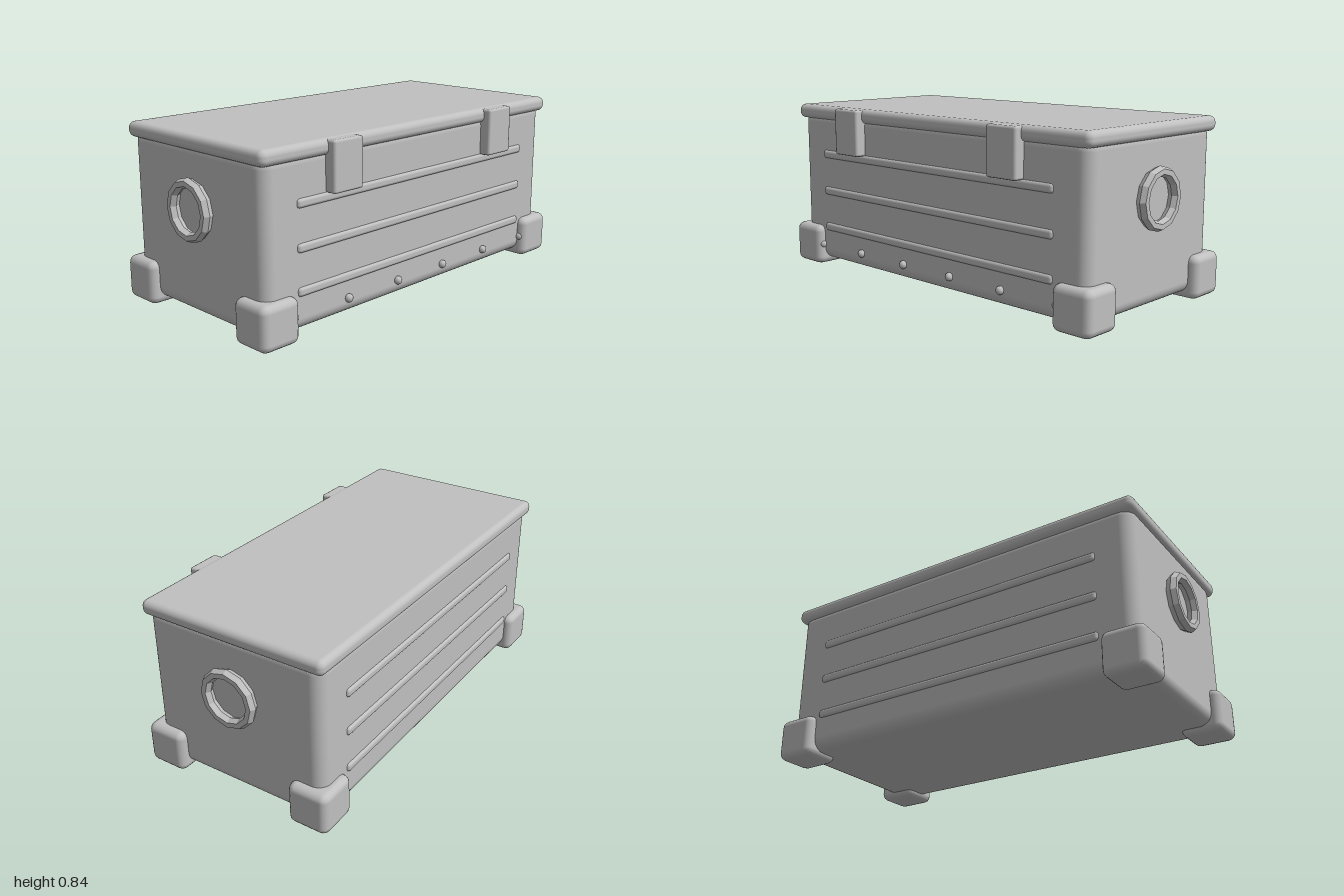
import * as THREE from 'three';
import { RoundedBoxGeometry } from 'three/addons/geometries/RoundedBoxGeometry.js';

export function createModel() {
  const root = new THREE.Group();
  root.name = 'storageCrate';

  const metal = new THREE.MeshStandardMaterial({ color: 0xc0c0c0 });
  metal.name = 'grey metal';

  const CZ = -0.007; // the latches push the crate slightly back from centre

  const add = (name, geometry, x, y, z) => {
    const mesh = new THREE.Mesh(geometry, metal);
    mesh.name = name;
    mesh.position.set(x, y, z);
    root.add(mesh);
    return mesh;
  };

  // Box given by its size, edge radius and edge segments
  const rounded = (w, h, d, radius, segments) =>
    new RoundedBoxGeometry(w, h, d, segments, radius);

  // Body and lid
  add('body', rounded(1.9, 0.78, 0.906, 0.06, 4), 0, 0.418, CZ);
  add('lid', rounded(1.934, 0.071, 0.942, 0.03, 3), 0, 0.8, CZ);

  // Corner guards, which also serve as feet
  const guard = rounded(0.203, 0.205, 0.2, 0.035, 2);
  for (const sx of [-1, 1]) {
    for (const sz of [-1, 1]) {
      add('cornerGuard', guard, sx * 0.892, 0.1025, CZ + sz * 0.393);
    }
  }

  // Horizontal ribs on the front and back
  const rib = rounded(1.545, 0.042, 0.05, 0.015, 2);
  for (const y of [0.587, 0.396, 0.206]) {
    for (const sz of [-1, 1]) add('rib', rib, 0, y, CZ + sz * 0.439);
  }

  // Front latches
  const latch = rounded(0.171, 0.228, 0.07, 0.012, 1);
  for (const sx of [-1, 1]) add('latch', latch, sx * 0.524, 0.718, 0.465);

  // Row of rivets along the lower front
  const rivet = new THREE.SphereGeometry(0.02, 10, 8);
  for (let i = 0; i < 6; i++) add('rivet', rivet, -0.8 + i * 0.32, 0.106, 0.452);

  // Twelve-sided ring handles on both ends
  const ring = new THREE.TorusGeometry(0.12, 0.0235, 6, 12).toNonIndexed();
  ring.computeVertexNormals();
  for (const sx of [-1, 1]) {
    const handle = add('ringHandle', ring, sx * 0.976, 0.512, CZ);
    handle.scale.z = 1.18;
    handle.rotation.y = sx * Math.PI / 2;
  }

  return root;
}
